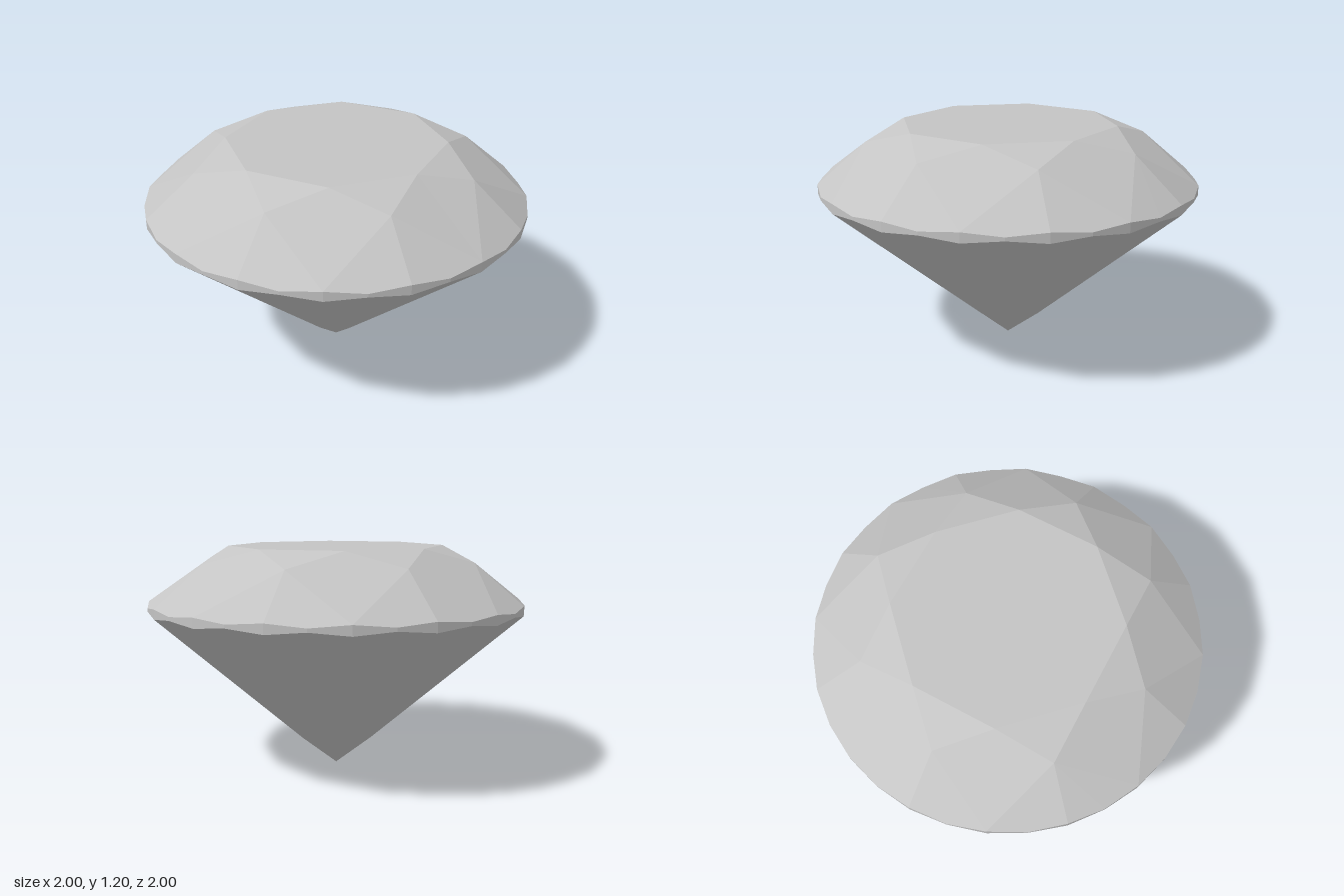
import * as THREE from 'three';

const STEP = Math.PI / 16; // the girdle has 32 points

// Ring point: angle step s, radius r, height y
const P = (s, r, y) => [Math.sin(s * STEP) * r, y, Math.cos(s * STEP) * r];

// Points shared by neighbouring facets
const tablePoint = (s) => P(s, 0.574, 1.2);
const bezelPoint = (s) => P(s, 0.745, 1.122);
const culet = [0, 0, 0];
const pavilionPoint = (s) => P(s, 0.2, 0.158);
// Scalloped girdle edges: thick at even steps, thin at odd steps
const upperGirdle = (s) => P(s, 1, s % 2 ? 0.892 : 0.908);
const lowerGirdle = (s) => P(s, 1, s % 2 ? 0.874 : 0.857);

// Unindexed fans of flat convex facets, so every facet keeps a sharp edge
function facetMesh(name, facets, material) {
  const positions = [];
  for (const f of facets) {
    for (let i = 1; i < f.length - 1; i++) positions.push(...f[0], ...f[i], ...f[i + 1]);
  }
  const geometry = new THREE.BufferGeometry();
  geometry.setAttribute('position', new THREE.Float32BufferAttribute(positions, 3));
  geometry.computeVertexNormals();
  const mesh = new THREE.Mesh(geometry, material);
  mesh.name = name;
  return mesh;
}

export function createModel() {
  const gem = new THREE.MeshStandardMaterial({ color: 0xc4c4c4 });
  gem.name = 'gem grey';

  const table = [[]];
  const stars = [], kites = [], upperHalves = [], girdle = [], mains = [], lowerHalves = [];

  // Eightfold symmetry: four girdle steps per sector
  for (let s = 0; s < 32; s += 4) {
    table[0].push(tablePoint(s + 2));
    stars.push([bezelPoint(s), tablePoint(s + 2), tablePoint(s - 2)]);
    kites.push([tablePoint(s + 2), bezelPoint(s), upperGirdle(s + 2), bezelPoint(s + 4)]);
    mains.push([culet, pavilionPoint(s + 4), lowerGirdle(s + 2), pavilionPoint(s)]);
    for (const a of [s - 2, s]) {
      upperHalves.push([bezelPoint(s), upperGirdle(a), upperGirdle(a + 1), upperGirdle(a + 2)]);
      lowerHalves.push([pavilionPoint(s), lowerGirdle(a + 2), lowerGirdle(a + 1), lowerGirdle(a)]);
    }
  }
  for (let s = 0; s < 32; s++) {
    girdle.push([lowerGirdle(s), lowerGirdle(s + 1), upperGirdle(s + 1), upperGirdle(s)]);
  }

  const group = new THREE.Group();
  group.name = 'cutGem';
  const parts = { table, starFacets: stars, kiteFacets: kites, upperGirdleFacets: upperHalves,
    girdle, lowerGirdleFacets: lowerHalves, pavilionMains: mains };
  for (const [name, facets] of Object.entries(parts)) group.add(facetMesh(name, facets, gem));
  return group;
}
